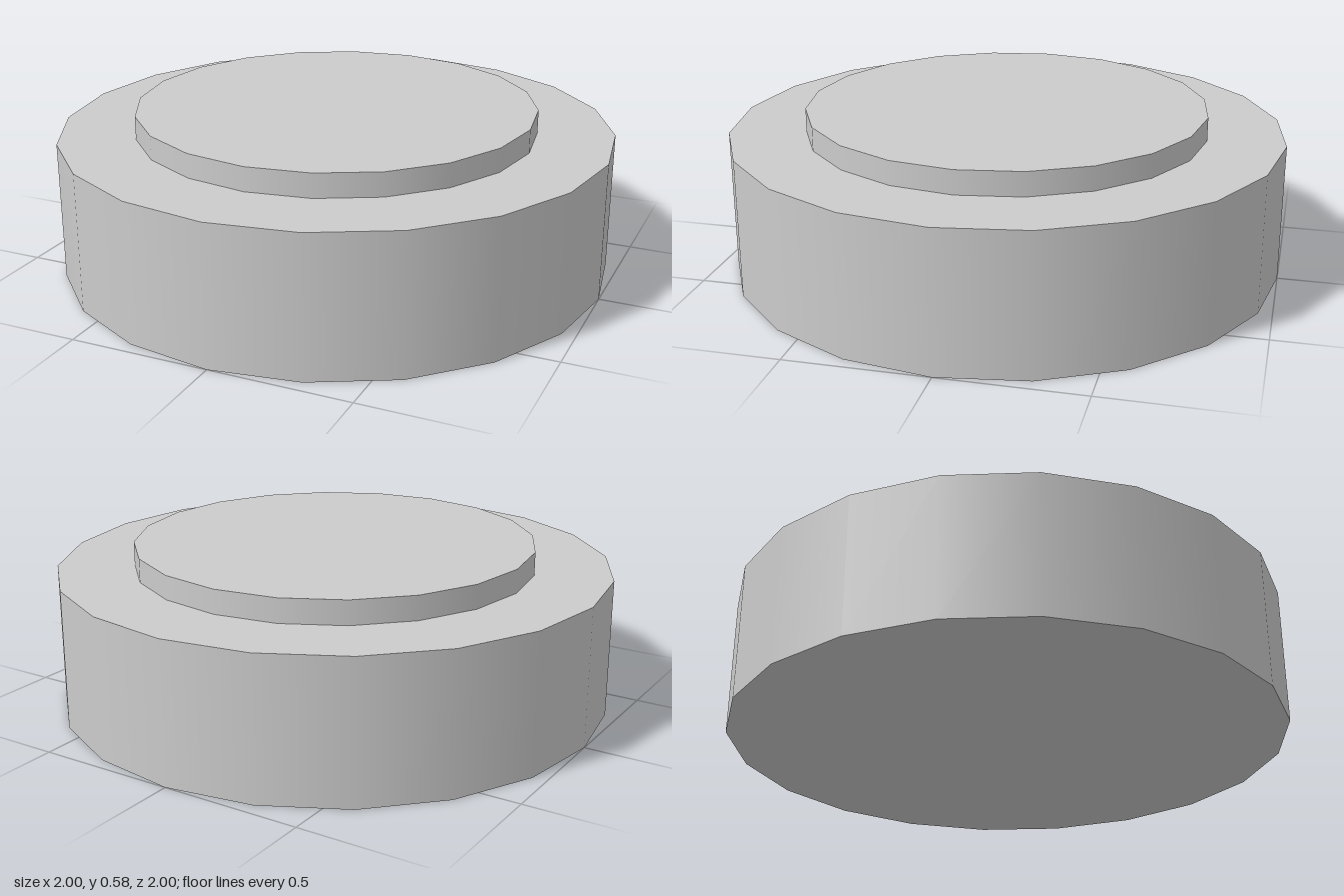
import * as THREE from 'three';

const SIDES = 20;

export function createModel() {
  const model = new THREE.Group();
  const material = new THREE.MeshStandardMaterial({ color: 0xcccccc });

  // Upright disc between two heights
  function addDisc(name, radius, bottom, top) {
    const height = top - bottom;
    const disc = new THREE.Mesh(new THREE.CylinderGeometry(radius, radius, height, SIDES), material);
    disc.name = name;
    disc.position.y = bottom + height / 2;
    model.add(disc);
  }

  // Wide housing with a slightly raised button on top
  addDisc('base', 1, 0, 0.5);
  addDisc('button', 0.724, 0.5, 0.585);

  return model;
}
